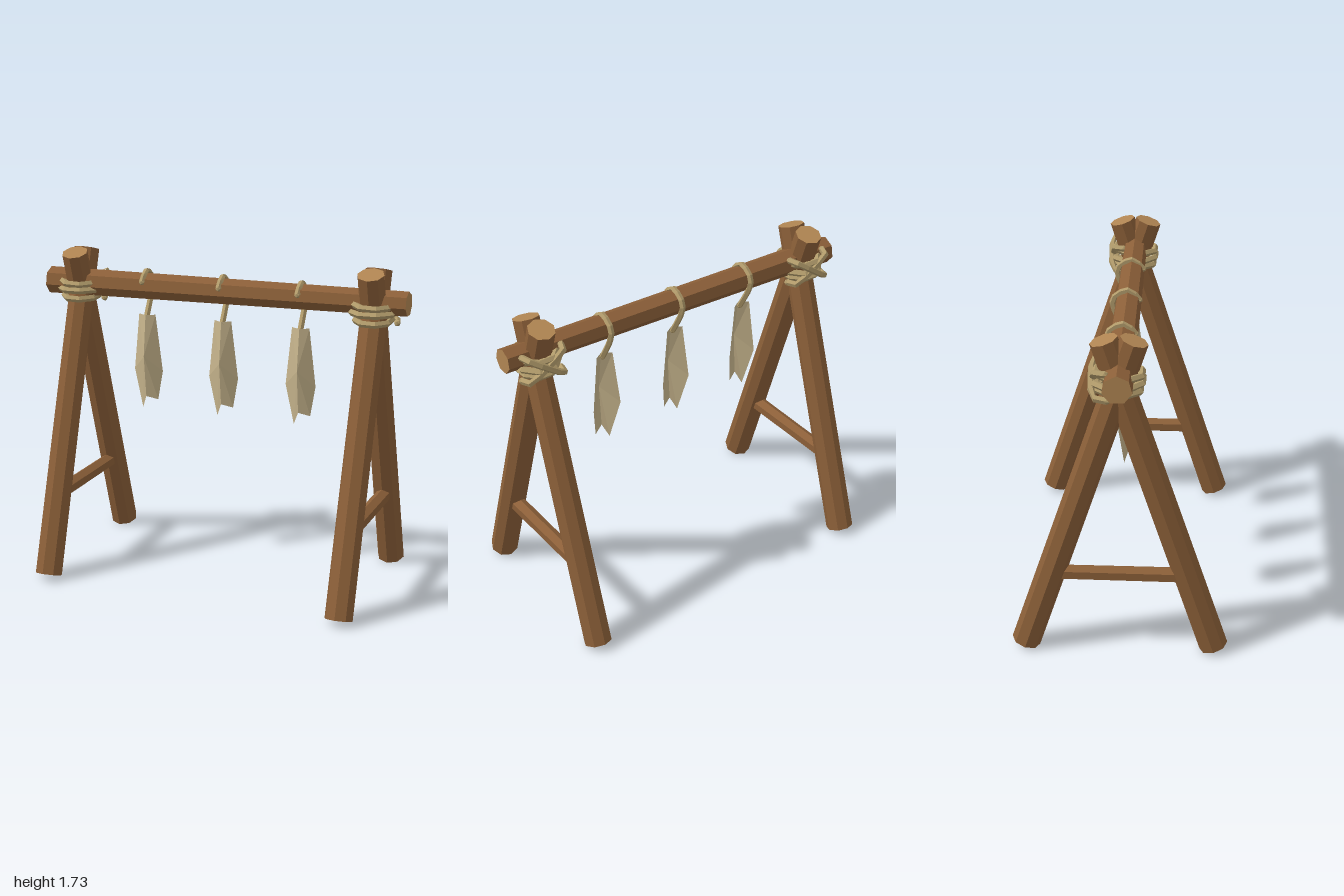
import * as THREE from 'three';

const mat = (color, side = THREE.FrontSide) => new THREE.MeshStandardMaterial({ color, side, flatShading: true });
const bark = mat(0x8b5f38), endGrain = mat(0xb08552), rope = mat(0xb09a6a);
const hide = mat(0xc6b48c, THREE.DoubleSide);
const V = (x, y, z) => new THREE.Vector3(x, y, z);

// Faceted log between two points, with lighter sawn ends
function log(name, a, b, ra, rb, sides, turn = 0) {
  const dir = b.clone().sub(a);
  const geo = new THREE.CylinderGeometry(rb, ra, dir.length(), sides);
  geo.rotateY(turn);
  const mesh = new THREE.Mesh(geo, [bark, endGrain, endGrain]);
  mesh.name = name;
  mesh.position.copy(a).add(b).multiplyScalar(0.5);
  mesh.quaternion.setFromUnitVectors(V(0, 1, 0), dir.normalize());
  return mesh;
}

// Angular rope following a few points, with closed ends
function cord(name, points, radius) {
  const path = new THREE.CurvePath();
  for (let i = 1; i < points.length; i++) path.add(new THREE.LineCurve3(points[i - 1], points[i]));
  const curve = new THREE.CatmullRomCurve3(points, false, 'catmullrom', 0.2);
  const group = new THREE.Group();
  group.name = name;
  group.add(new THREE.Mesh(new THREE.TubeGeometry(curve, (points.length - 1) * 2, radius, 5), rope));
  for (const p of [points[0], points[points.length - 1]]) {
    const knot = new THREE.Mesh(new THREE.IcosahedronGeometry(radius, 0), rope);
    knot.position.copy(p);
    group.add(knot);
  }
  return group;
}

// Folded hide strip: ridge down the middle, notched lower edge
function hideStrip() {
  const left = [[-0.05, 1.39, -0.01], [-0.085, 1.08, -0.02], [-0.028, 0.875, 0.005]];
  const right = [[0.045, 1.39, -0.01], [0.08, 1.08, -0.02], [0.06, 0.925, 0]];
  const top = [0, 1.39, 0.02], ridge = [0, 1.17, 0.05], notch = [0.003, 0.945, 0.03];
  const pos = [];
  const fan = (edge, flip) => {
    const rim = [top, ...edge, notch];
    for (let i = 1; i < rim.length; i++) {
      const [p, q] = flip ? [rim[i], rim[i - 1]] : [rim[i - 1], rim[i]];
      pos.push(...ridge, ...p, ...q);
    }
  };
  fan(left, false);
  fan(right, true);
  const geo = new THREE.BufferGeometry();
  geo.setAttribute('position', new THREE.Float32BufferAttribute(pos, 3));
  geo.computeVertexNormals();
  const mesh = new THREE.Mesh(geo, hide);
  mesh.name = 'hideStrip';
  return mesh;
}

// Rope wound round a leg crossing, plus crossed strands at the back
function lashing() {
  const group = new THREE.Group();
  group.name = 'lashing';
  const coils = [[1.468, 0.092, 0.108, 0.03], [1.508, 0.11, 0.118, -0.03], [1.55, 0.103, 0.115, 0.04]];
  coils.forEach(([y, rx, rz, tilt], i) => {
    const geo = new THREE.TorusGeometry(1, 0.18, 5, 8);
    geo.rotateX(Math.PI / 2);
    geo.rotateY(Math.PI / 8);
    geo.scale(rx, 0.1, rz);
    const coil = new THREE.Mesh(geo, rope);
    coil.name = 'ropeCoil' + (i + 1);
    coil.position.y = y;
    coil.rotation.set(tilt, 0, -tilt * 0.6);
    group.add(coil);
  });
  for (const s of [-1, 1]) {
    const z = s > 0 ? 0 : 0.014;
    group.add(cord('crossStrand', [
      V(-0.11 * s, 1.45, -0.05), V(-0.085 * s, 1.46, -0.125 + z),
      V(0.085 * s, 1.58, -0.13 + z), V(0.11 * s, 1.585, -0.06)], 0.018));
  }
  return group;
}

export function createModel() {
  const model = new THREE.Group();
  model.name = 'hangingRack';

  // A-frames at both ends
  for (const [side, name] of [[1, 'leftFrame'], [-1, 'rightFrame']]) {
    const frame = new THREE.Group();
    frame.name = name;
    frame.position.x = 0.82 * side;
    for (const s of [1, -1]) {
      frame.add(log(s > 0 ? 'frontLeg' : 'backLeg',
        V(0, 0.025, 0.478 * s), V(0, 1.711, -0.072 * s), 0.074, 0.07, 8));
    }
    frame.add(log('crossBar', V(0, 0.44, 0.33), V(0, 0.44, -0.33), 0.042, 0.04, 6));
    frame.add(lashing());
    model.add(frame);
  }

  // Ridge beam, slightly higher and thinner at its left end
  model.add(log('beam', V(-1, 1.538, 0), V(1, 1.562, 0), 0.073, 0.064, 7, 0.2));

  // Hide strips hung from cords looped over the beam
  for (const x of [-0.435, 0, 0.432]) {
    const hanger = new THREE.Group();
    hanger.name = 'hanger';
    hanger.position.x = x;
    hanger.add(cord('hangingCord', [
      V(0, 1.575, 0.06), V(0, 1.627, 0.01), V(0, 1.605, -0.06),
      V(0, 1.55, -0.082), V(0, 1.48, -0.055), V(0, 1.375, 0.005)], 0.016));
    hanger.add(hideStrip());
    model.add(hanger);
  }
  return model;
}
